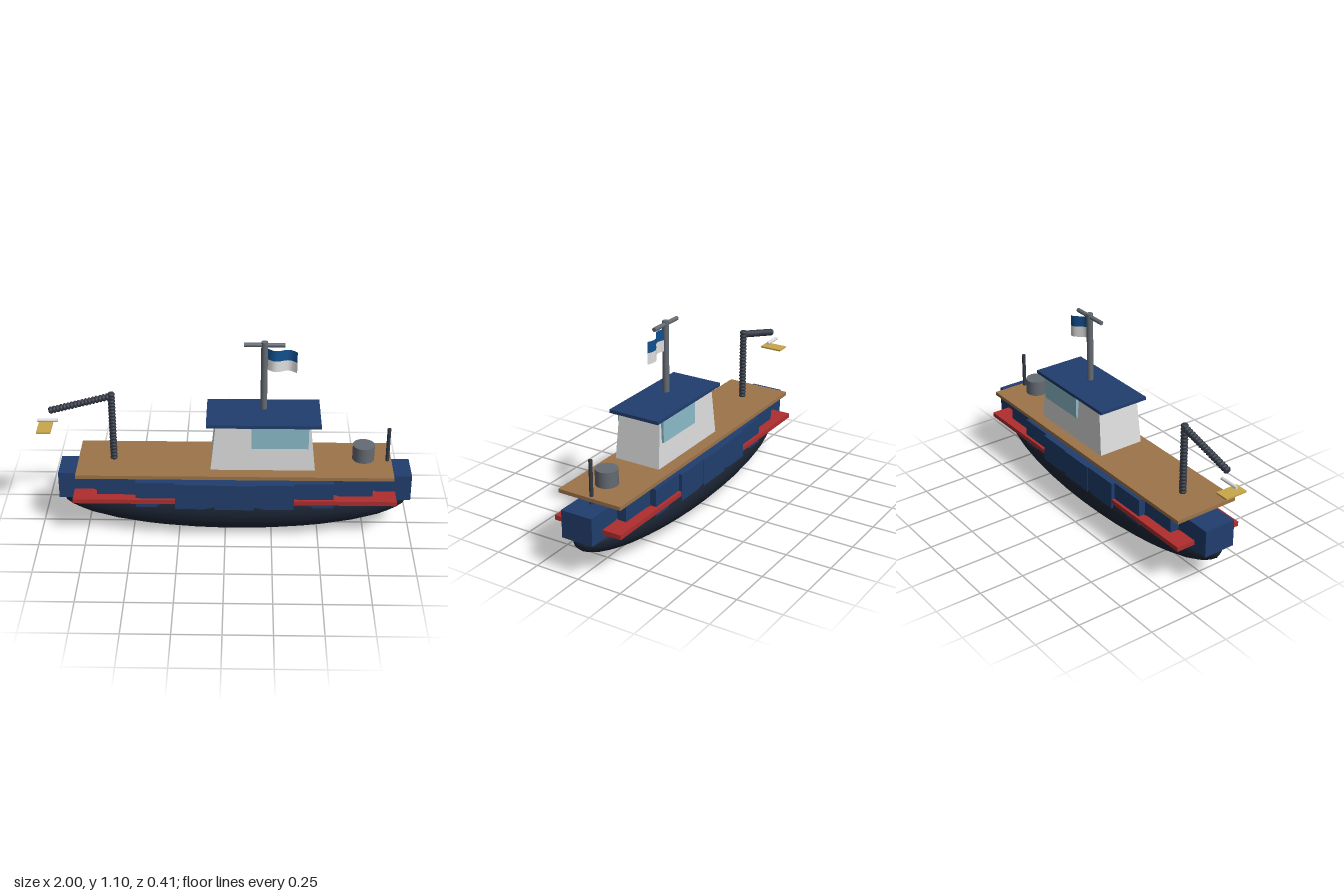
import * as THREE from 'three';

const mat = (name, color, side = THREE.FrontSide) => {
  const m = new THREE.MeshStandardMaterial({ color, side });
  m.name = name;
  return m;
};

export function createModel() {
  const boat = new THREE.Group();
  boat.name = 'boat';
  const hullDark = mat('hull dark', 0x1d2636);
  const navy = mat('navy', 0x213e6e);
  const red = mat('red', 0xb02e2e);
  const wood = mat('wood', 0x9c744a);
  const white = mat('white', 0xdedede, THREE.DoubleSide);
  const glass = mat('glass', 0x8cbccb);
  const grey = mat('grey', 0x656b73);
  const charcoal = mat('charcoal', 0x343a46);
  const yellow = mat('yellow', 0xc8a84a);
  const flagBlue = mat('flag blue', 0x11508f, THREE.DoubleSide);

  const add = (name, geo, material, x = 0, y = 0, z = 0) => {
    const m = new THREE.Mesh(geo, material);
    m.name = name;
    m.position.set(x, y, z);
    boat.add(m);
    return m;
  };
  // Box given by its extents
  const box = (name, material, [x0, x1], [y0, y1], [z0, z1]) =>
    add(name, new THREE.BoxGeometry(x1 - x0, y1 - y0, z1 - z0), material,
      (x0 + x1) / 2, (y0 + y1) / 2, (z0 + z1) / 2);
  const rod = (name, material, r, len, x, y, z = 0, sides = 16) =>
    add(name, new THREE.CylinderGeometry(r, r, len, sides), material, x, y, z);

  // Rounded hull
  const hull = new THREE.SphereGeometry(1, 32, 20);
  hull.scale(0.942, 0.186, 0.205);
  add('hull', hull, hullDark, 0.05, 0.19);

  // Stepped bulwark blocks, widest amidships
  const halfWidths = [0.205, 0.2, 0.181, 0.143, 0.09];
  for (let i = -4; i <= 4; i++) {
    const w = halfWidths[Math.abs(i)], x = 0.05 + i * 0.21;
    box('bulwarkBlock', navy, [x - 0.105, x + 0.105], [0.208, 0.358], [-w, w]);
  }

  // Rubbing strake and deck
  box('rubbingStrake', red, [-0.81, 0.91], [0.237, 0.262], [-0.197, 0.197]);
  box('deck', wood, [-0.79, 0.89], [0.382, 0.402], [-0.184, 0.184]);

  // Tapered cabin
  const cabin = new THREE.BoxGeometry(0.552, 0.26, 0.264);
  const p = cabin.attributes.position;
  for (let i = 0; i < p.count; i++) {
    if (p.getY(i) > 0) p.setXYZ(i, p.getX(i) * 0.9, p.getY(i), p.getZ(i) * 0.92);
  }
  cabin.computeVertexNormals();
  add('cabin', cabin, white, 0.198, 0.544);
  box('cabinRoof', navy, [-0.1, 0.5], [0.672, 0.69], [-0.146, 0.146]);
  for (const s of [-1, 1]) {
    add('cabinWindow', new THREE.BoxGeometry(0.298, 0.12, 0.018), glass, 0.287, 0.608, s * 0.129);
  }

  // Mast with crossbar
  rod('mast', grey, 0.0175, 0.385, 0.2, 0.908);
  rod('mastCrossbar', grey, 0.0115, 0.21, 0.2, 1.083).rotation.z = Math.PI / 2;

  // Waving two-band flag
  const flagBand = (name, material, yTop) => {
    const g = new THREE.PlaneGeometry(0.155, 0.06, 16, 1);
    const q = g.attributes.position;
    for (let i = 0; i < q.count; i++) {
      const t = q.getX(i) / 0.155 + 0.5;
      q.setY(i, q.getY(i) - 0.022 * t);
      q.setZ(i, -0.003 + 0.019 * Math.sin(t * Math.PI * 2));
    }
    g.computeVertexNormals();
    add(name, g, material, 0.293, yTop - 0.03);
  };
  flagBand('flagUpperBand', flagBlue, 1.062);
  flagBand('flagLowerBand', white, 1.002);

  // Ribbed crane post and arm: lathe with a bead every 0.02
  const beaded = (name, ax, ay, bx, by) => {
    const len = Math.hypot(bx - ax, by - ay), beads = Math.round(len / 0.02);
    const pts = [new THREE.Vector2(0, 0)];
    for (let i = 0; i <= beads * 4; i++) {
      const r = 0.014 + 0.006 * Math.sin((i % 4) / 4 * Math.PI);
      pts.push(new THREE.Vector2(r, len * i / (beads * 4)));
    }
    pts.push(new THREE.Vector2(0, len));
    const m = add(name, new THREE.LatheGeometry(pts, 12), charcoal, ax, ay);
    m.rotation.z = Math.atan2(by - ay, bx - ax) - Math.PI / 2;
  };
  beaded('cranePost', -0.6, 0.4, -0.6, 0.8);
  beaded('craneArm', -0.592, 0.782, -0.932, 0.69);

  // Hanging bar and plate below the arm tip
  rod('hangingBar', white, 0.009, 0.108, -0.944, 0.631, 0, 12).rotation.z = Math.PI / 2;
  box('hangingPlate', yellow, [-1, -0.925], [0.583, 0.592], [-0.063, 0.063]);

  // Foredeck drum and bow post
  rod('drum', grey, 0.059, 0.085, 0.738, 0.457, 0, 24);
  rod('bowPost', charcoal, 0.01, 0.237, 0.868, 0.479, 0, 12);

  return boat;
}
